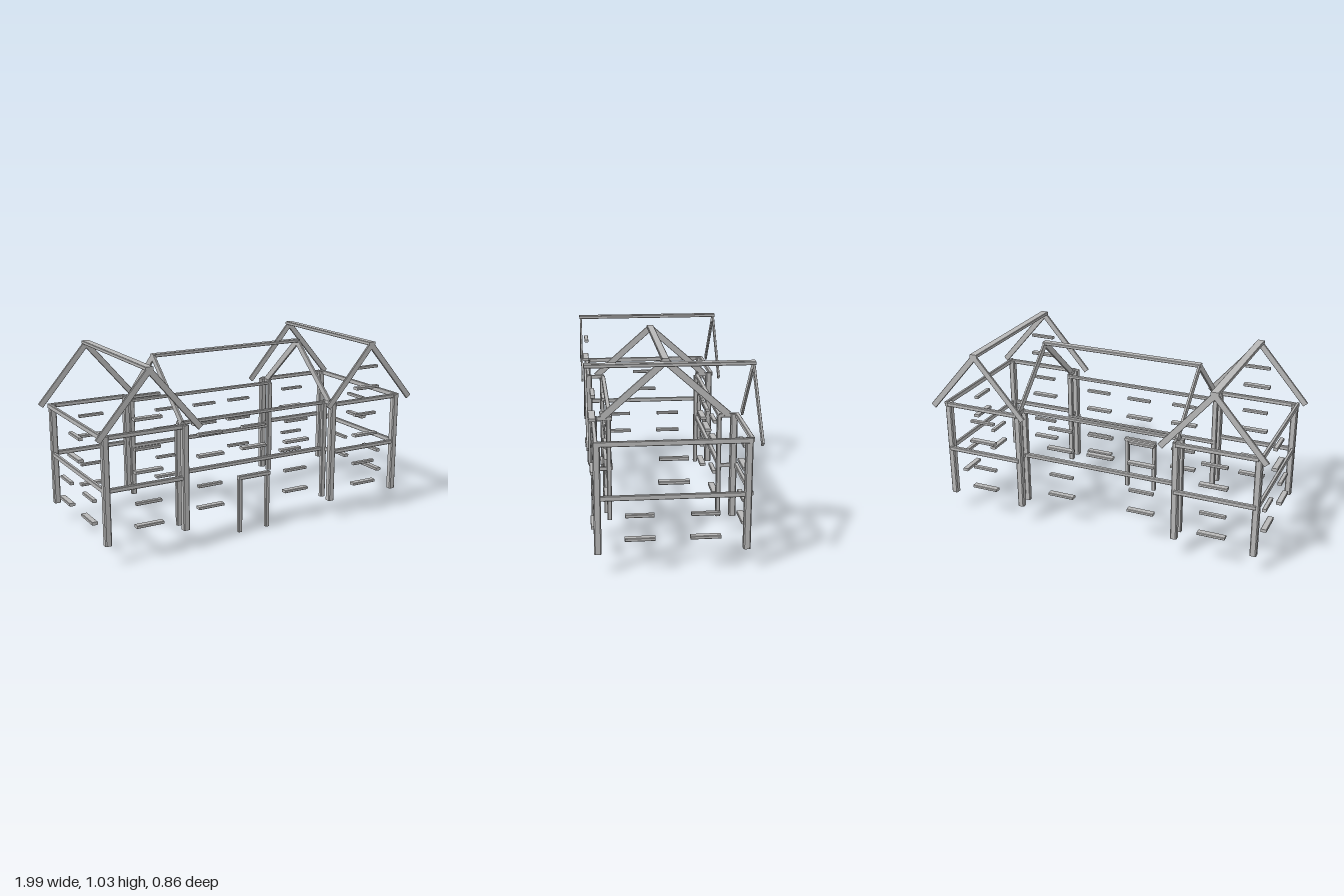
import * as THREE from 'three';

export function createModel() {
  const model = new THREE.Group();
  model.name = 'houseFrame';
  const grey = new THREE.MeshStandardMaterial({ color: 0xb8b8b8 });
  grey.name = 'timberGrey';

  const X = new THREE.Vector3(1, 0, 0);
  const Z = new THREE.Vector3(0, 0, 1);

  // Chamfered bar from a to b; w is measured along "side", h across it
  function bar(parent, name, a, b, side, w, h) {
    const start = new THREE.Vector3(...a);
    const dir = new THREE.Vector3(...b).sub(start);
    const length = dir.length();
    dir.normalize();
    const c = Math.min(w, h) * 0.15, u = w / 2, v = h / 2;
    const section = new THREE.Shape([
      [u - c, -v], [u, c - v], [u, v - c], [u - c, v],
      [c - u, v], [-u, v - c], [-u, c - v], [c - u, -v],
    ].map(([x, y]) => new THREE.Vector2(x, y)));
    const geo = new THREE.ExtrudeGeometry(section, { depth: length, bevelEnabled: false });
    const up = new THREE.Vector3().crossVectors(dir, side);
    geo.applyMatrix4(new THREE.Matrix4().makeBasis(side, up, dir).setPosition(start));
    const mesh = new THREE.Mesh(geo, grey);
    mesh.name = name;
    parent.add(mesh);
  }

  function group(name) {
    const g = new THREE.Group();
    g.name = name;
    model.add(g);
    return g;
  }

  // Sill (deep) and lintel (shallow) of one window in a front or back wall
  function wallWindow(parent, x, z, out, sillY, lintelY) {
    bar(parent, 'windowSill', [x - 0.078, sillY, z + out * 0.005], [x + 0.078, sillY, z + out * 0.005], Z, 0.036, 0.016);
    bar(parent, 'windowLintel', [x - 0.073, lintelY, z], [x + 0.073, lintelY, z], Z, 0.024, 0.016);
  }

  // Same for a window in an end wall
  function endWindow(parent, x, z, out, sillY, lintelY) {
    bar(parent, 'windowSill', [x + out * 0.005, sillY, z - 0.077], [x + out * 0.005, sillY, z + 0.077], X, 0.034, 0.018);
    bar(parent, 'windowLintel', [x, lintelY, z - 0.073], [x, lintelY, z + 0.073], X, 0.024, 0.018);
  }

  const base = 0.113, floorY = 0.407, eaveY = 0.688;
  const lower = [0.19, 0.312], upper = [0.485, 0.605];

  // Gabled wings at both ends
  for (const s of [-1, 1]) {
    const wing = group(s > 0 ? 'leftWing' : 'rightWing');
    const outer = s > 0 ? 0.915 : -0.932;
    const inner = s > 0 ? 0.465 : -0.481;
    const face = s > 0 ? 0.927 : -0.945;
    const mid = s * 0.696;

    for (const f of [1, -1]) {
      const postZ = f > 0 ? 0.383 : -0.37;
      const wallZ = f * 0.386;
      const windowZ = f > 0 ? 0.389 : -0.381;

      // Corner posts
      for (const x of [outer, inner]) {
        bar(wing, 'cornerPost', [x, base, postZ], [x, 0.695, postZ], X, 0.037, 0.037);
      }

      // Front and back beams
      for (const y of [floorY, eaveY]) {
        bar(wing, 'wallBeam', [outer, y, wallZ], [inner, y, wallZ], Z, 0.022, 0.024);
        bar(wing, 'returnBeam', [s * 0.472, y, f * 0.29], [s * 0.472, y, wallZ], X, 0.012, 0.022);
      }

      // Gable rafters
      for (const t of [-1, 1]) {
        bar(wing, 'rafter', [mid + t * 0.288, 0.683, f * 0.423], [mid, 1.016, f * 0.423], Z, 0.012, 0.034);
      }

      // Windows in the front and back walls
      const x = mid - 0.003;
      wallWindow(wing, x, windowZ, f, ...lower);
      wallWindow(wing, x, windowZ, f, ...upper);
      if (f > 0) wallWindow(wing, x, 0.391, 1, 0.765, 0.883);
    }

    // End wall beams
    bar(wing, 'endFloorBeam', [face - s * 0.005, floorY, -0.36], [face - s * 0.005, floorY, 0.375], X, 0.017, 0.026);
    bar(wing, 'endEaveBeam', [face, eaveY, -0.388], [face, eaveY, 0.397], X, 0.017, 0.027);

    // End wall windows
    const windowX = face - s * 0.005;
    endWindow(wing, windowX, 0.003, s, ...upper);
    for (const z of [-0.158, 0.172]) endWindow(wing, windowX, z, s, ...lower);

    // Wing ridge
    bar(wing, 'ridge', [mid, 1.025, -0.432], [mid, 1.025, 0.432], X, 0.044, 0.019);
  }

  // Central block between the wings
  const centre = group('centreBlock');
  for (const f of [1, -1]) {
    const z = f > 0 ? 0.303 : -0.29;
    for (const s of [-1, 1]) {
      const x = s > 0 ? 0.465 : -0.481;
      bar(centre, 'post', [x, base, z], [x, 0.68, z], X, 0.03, 0.025);
      bar(centre, 'rafter', [s * 0.473, 0.693, f * 0.338], [s * 0.473, 0.988, f * 0.003], X, 0.012, 0.038);
    }
    bar(centre, 'floorBeam', [-0.48, floorY, f * 0.295], [0.47, floorY, f * 0.295], Z, 0.024, 0.022);
    bar(centre, 'eaveBeam', [-0.48, 0.682, f * 0.295], [0.475, 0.682, f * 0.295], Z, 0.024, 0.018);

    const windowZ = f > 0 ? 0.303 : -0.293;
    for (const x of f > 0 ? [-0.288, 0.27] : [-0.253, 0.24]) {
      wallWindow(centre, x, windowZ, f, ...lower);
      wallWindow(centre, x, windowZ, f, ...upper);
    }
    wallWindow(centre, -0.004, f * 0.286, f, ...upper);
  }
  bar(centre, 'ridge', [-0.48, 0.997, 0], [0.48, 0.997, 0], Z, 0.04, 0.018);

  // Door frame
  const door = group('doorFrame');
  for (const x of [-0.1, 0.079]) {
    bar(door, 'doorPost', [x, 0, 0.306], [x, 0.31, 0.306], X, 0.024, 0.025);
  }
  bar(door, 'doorHeader', [-0.11, 0.32, 0.306], [0.094, 0.32, 0.306], Z, 0.025, 0.024);

  return model;
}
